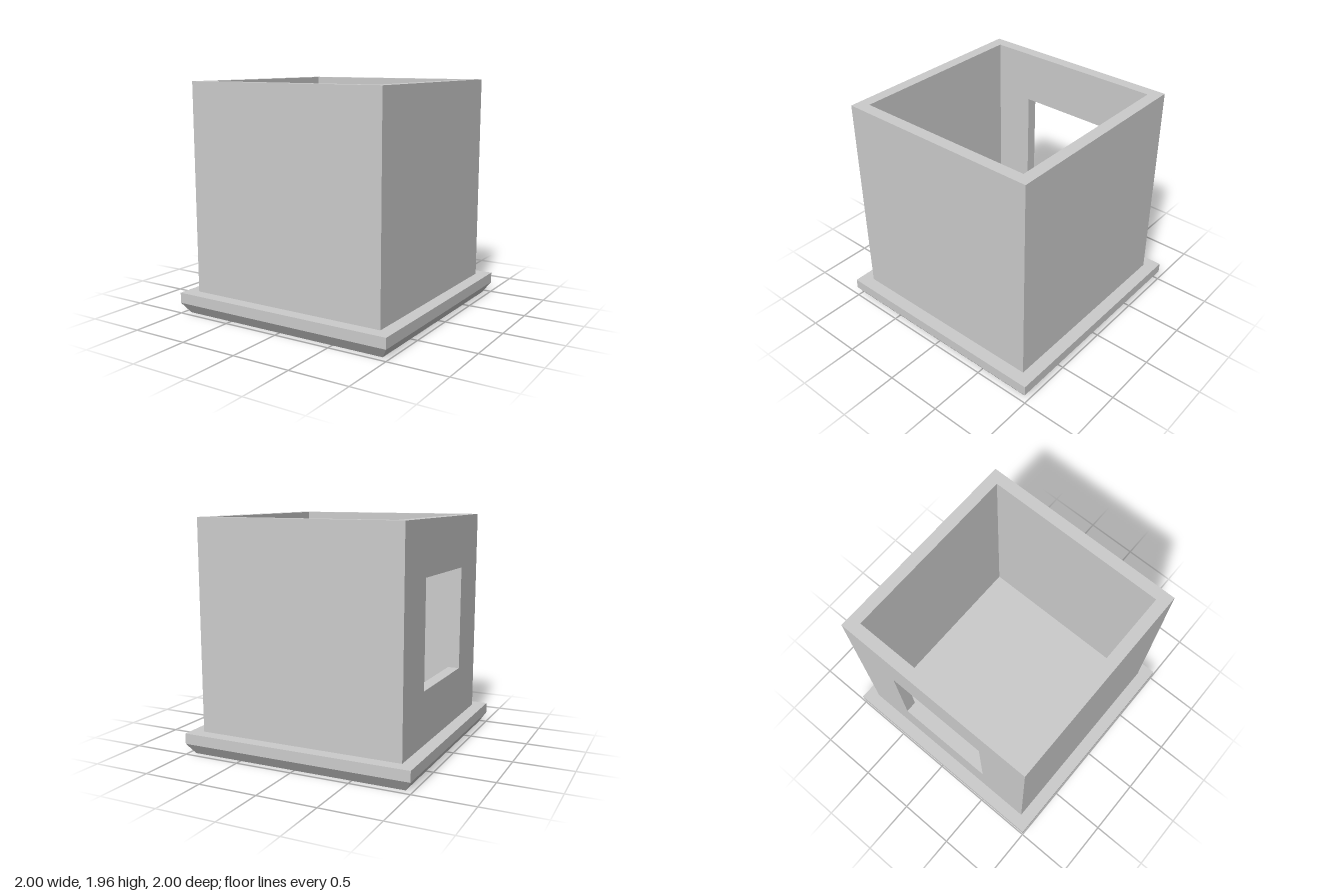
import * as THREE from 'three';

const OUTER = 0.89, INNER = 0.79;        // half widths of the box, outside and inside
const BASE_TOP = 0.18, TOP = 1.96, FLOOR_TOP = 0.265;
const WINDOW = 0.445;                    // half size of the square window
const HEIGHT = TOP - BASE_TOP;

const material = new THREE.MeshStandardMaterial({ color: 0xcccccc, flatShading: true });

function addPart(group, name, geometry) {
  const mesh = new THREE.Mesh(geometry, material);
  mesh.name = name;
  group.add(mesh);
  return mesh;
}

const polygon = (points) => points.map(([x, y]) => new THREE.Vector2(x, y));

export function createModel() {
  const group = new THREE.Group();
  group.name = 'openBox';

  // Base plate: the lowest ring of corners is drawn in to form the chamfer
  const base = new THREE.BoxGeometry(2, BASE_TOP, 2, 1, 2, 1);
  base.translate(0, BASE_TOP / 2, 0);
  const p = base.attributes.position;
  for (let i = 0; i < p.count; i++) {
    if (p.getY(i) < 0.01) p.setXYZ(i, p.getX(i) * 0.94, 0, p.getZ(i) * 0.94);
  }
  base.computeVertexNormals();
  addPart(group, 'basePlate', base);

  // Front, left and back walls: one U-shaped plan extruded upwards
  const plan = new THREE.Shape(polygon([
    [-INNER, -OUTER], [OUTER, -OUTER], [OUTER, OUTER], [-INNER, OUTER],
    [-INNER, INNER], [INNER, INNER], [INNER, -INNER], [-INNER, -INNER],
  ]));
  const walls = new THREE.ExtrudeGeometry(plan, { depth: HEIGHT, bevelEnabled: false });
  walls.rotateX(-Math.PI / 2);
  walls.translate(0, BASE_TOP, 0);
  addPart(group, 'solidWalls', walls);

  // Right wall with a centred square window
  const panel = new THREE.Shape(polygon([
    [-OUTER, 0], [OUTER, 0], [OUTER, HEIGHT], [-OUTER, HEIGHT],
  ]));
  const low = HEIGHT / 2 - WINDOW, high = HEIGHT / 2 + WINDOW;
  panel.holes.push(new THREE.Path(polygon([
    [-WINDOW, low], [-WINDOW, high], [WINDOW, high], [WINDOW, low],
  ])));
  const windowWall = new THREE.ExtrudeGeometry(panel, { depth: OUTER - INNER, bevelEnabled: false });
  windowWall.rotateY(Math.PI / 2);
  windowWall.translate(-OUTER, BASE_TOP, 0);
  addPart(group, 'windowWall', windowWall);

  // Inner floor
  const floor = new THREE.BoxGeometry(2 * INNER, FLOOR_TOP - BASE_TOP, 2 * INNER);
  floor.translate(0, (FLOOR_TOP + BASE_TOP) / 2, 0);
  addPart(group, 'floor', floor);

  return group;
}
